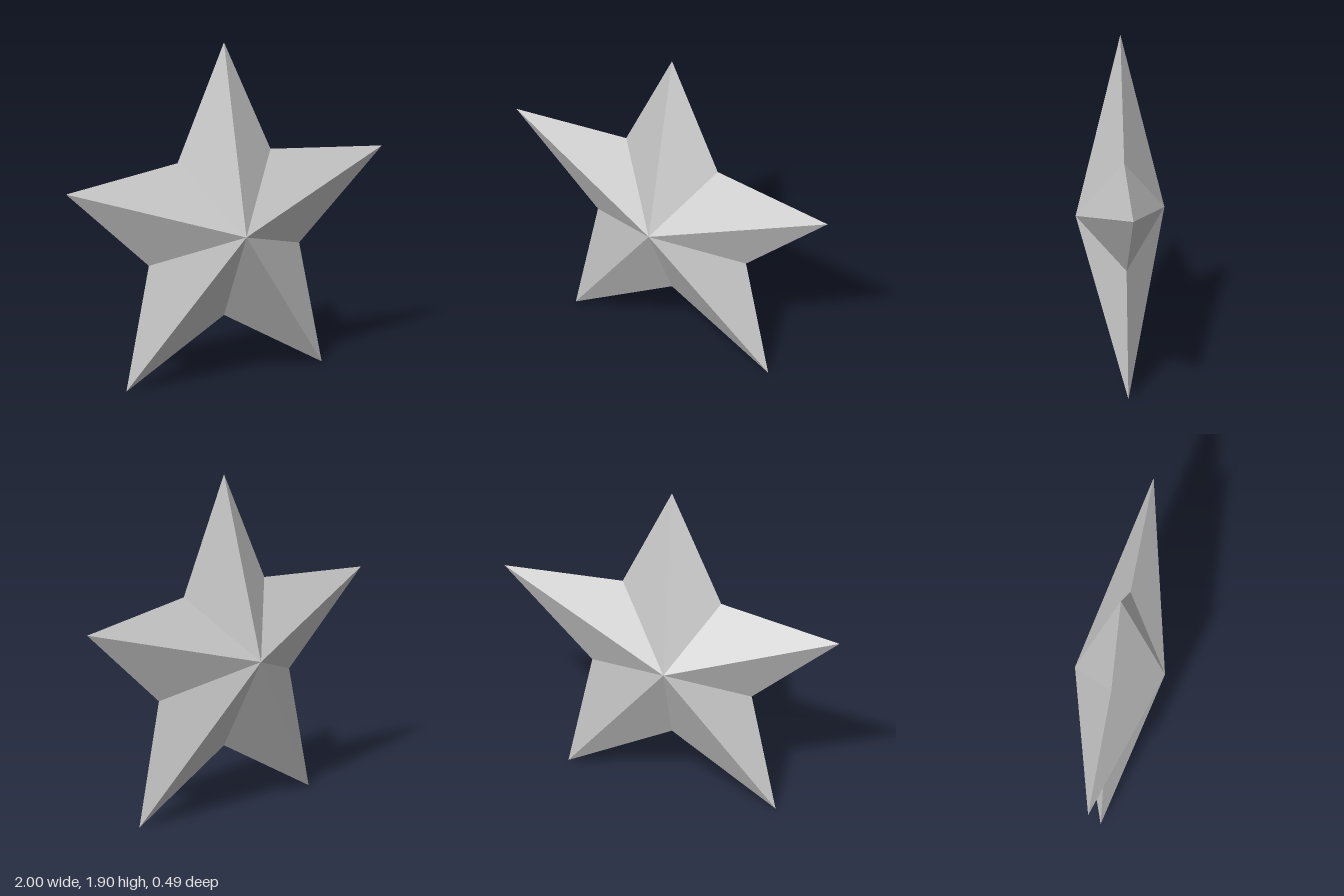
import * as THREE from 'three';

const POINTS = 5;
const OUTER = 1.0515; // tip radius
const INNER = 0.5; // notch radius
const CENTRE_Y = 0.8507;

// Fan of flat facets from the star outline to an apex
function starHalf(name, outline, apex, front, material) {
  const corners = [];
  outline.forEach((p, i) => {
    const q = outline[(i + 1) % outline.length];
    corners.push(apex, ...(front ? [p, q] : [q, p]));
  });
  const geometry = new THREE.BufferGeometry().setFromPoints(corners);
  geometry.computeVertexNormals();
  const mesh = new THREE.Mesh(geometry, material);
  mesh.name = name;
  return mesh;
}

export function createModel() {
  const group = new THREE.Group();
  group.name = 'star';

  const grey = new THREE.MeshStandardMaterial({ color: 0xcccccc, flatShading: true });
  grey.name = 'light grey';

  // Outline, counter-clockwise from the top tip
  const outline = [];
  for (let i = 0; i < POINTS * 2; i++) {
    const angle = Math.PI / 2 + (i * Math.PI) / POINTS;
    const r = i % 2 ? INNER : OUTER;
    outline.push(new THREE.Vector3(r * Math.cos(angle), CENTRE_Y + r * Math.sin(angle), 0));
  }

  // The back apex sits slightly off centre
  group.add(
    starHalf('starFront', outline, new THREE.Vector3(0, CENTRE_Y, 0.246), true, grey),
    starHalf('starBack', outline, new THREE.Vector3(-0.054, 0.871, -0.246), false, grey),
  );
  return group;
}
